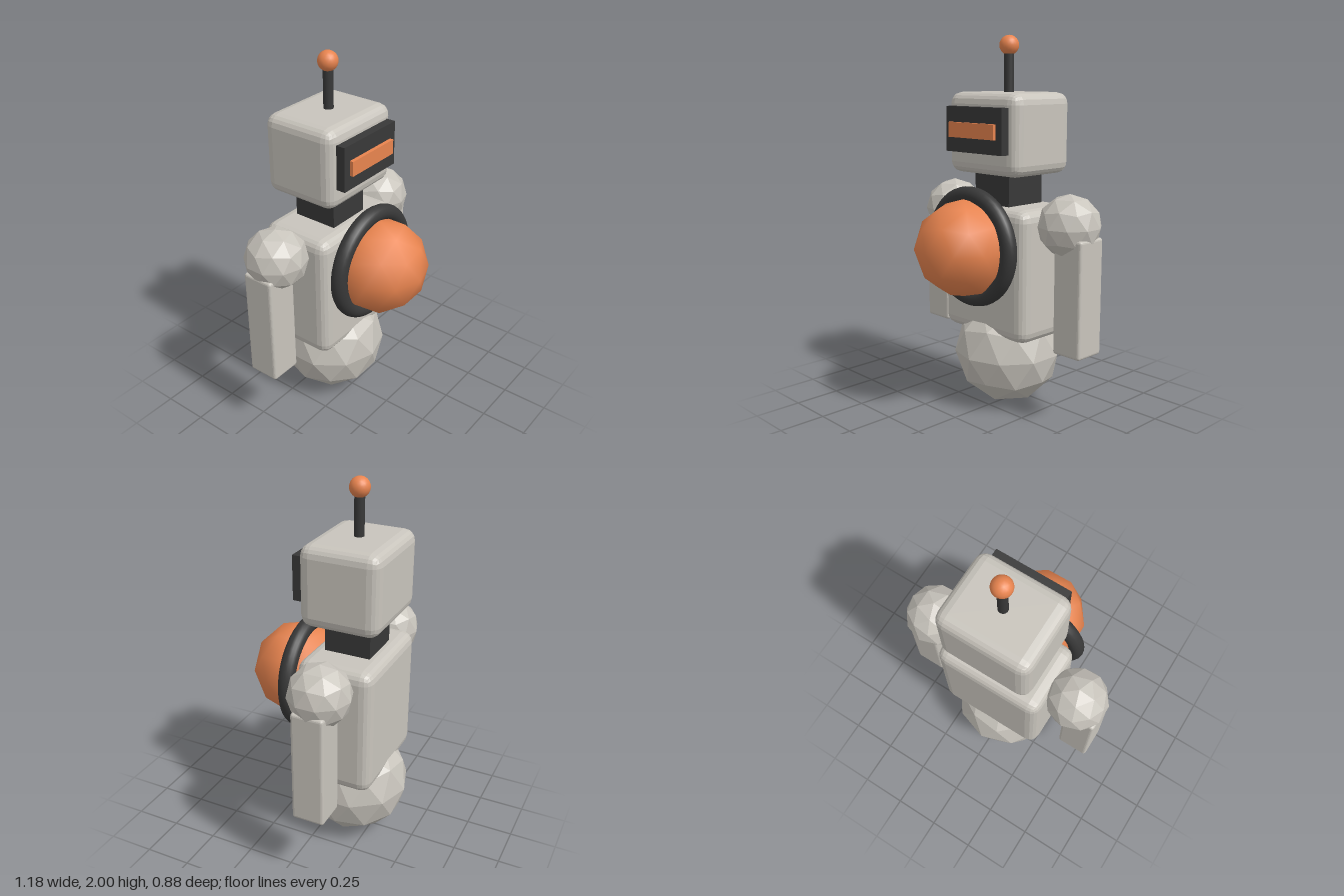
import * as THREE from 'three';
import { RoundedBoxGeometry } from 'three/addons/geometries/RoundedBoxGeometry.js';

const shell = new THREE.MeshStandardMaterial({ color: 0xc8c4bc, flatShading: true });
const dark = new THREE.MeshStandardMaterial({ color: 0x383838 });
const orange = new THREE.MeshStandardMaterial({ color: 0xe8844f });

const Z = -0.147; // depth of the body axis

// Icosphere turned so that one of its corners points straight up
function ball(radius, detail) {
  const golden = (1 + Math.sqrt(5)) / 2;
  return new THREE.IcosahedronGeometry(radius, detail).rotateZ(Math.atan(1 / golden));
}

export function createModel() {
  const model = new THREE.Group();
  model.name = 'robot';

  const add = (name, geometry, material, x, y, z) => {
    const mesh = new THREE.Mesh(geometry, material);
    mesh.name = name;
    mesh.position.set(x, y, z);
    model.add(mesh);
    return mesh;
  };

  // Rolling base and torso
  add('baseBall', ball(0.295, 1), shell, 0, 0.298, Z);
  add('torso', new RoundedBoxGeometry(0.61, 0.7, 0.41, 2, 0.06), shell, 0, 0.77, Z);

  // Chest dome with its ring
  add('chestDome', ball(0.256, 1), orange, 0, 0.915, 0.183);
  add('chestRing', new THREE.TorusGeometry(0.273, 0.043, 16, 48), dark, 0, 0.915, 0.128);

  // Neck and head
  add('neck', new THREE.BoxGeometry(0.25, 0.24, 0.25), dark, 0, 1.19, Z);
  add('head', new RoundedBoxGeometry(0.51, 0.425, 0.425, 2, 0.06), shell, 0, 1.495, Z);

  // Visor and its lit slot
  add('visor', new THREE.BoxGeometry(0.41, 0.235, 0.06), dark, 0, 1.518, 0.083);
  add('visorSlot', new THREE.BoxGeometry(0.33, 0.078, 0.04), orange, 0, 1.516, 0.113);

  // Antenna
  add('antennaRod', new THREE.CylinderGeometry(0.026, 0.026, 0.26, 16), dark, 0, 1.8, Z);
  add('antennaTip', ball(0.052, 3), orange, 0, 1.948, Z);

  // Shoulders and arms
  for (const [side, s] of [['left', 1], ['right', -1]]) {
    add(side + 'Shoulder', ball(0.165, 1), shell, s * 0.433, 1.045, Z);
    add(side + 'Arm', new RoundedBoxGeometry(0.176, 0.61, 0.175, 2, 0.015), shell, s * 0.493, 0.692, Z);
  }

  return model;
}
